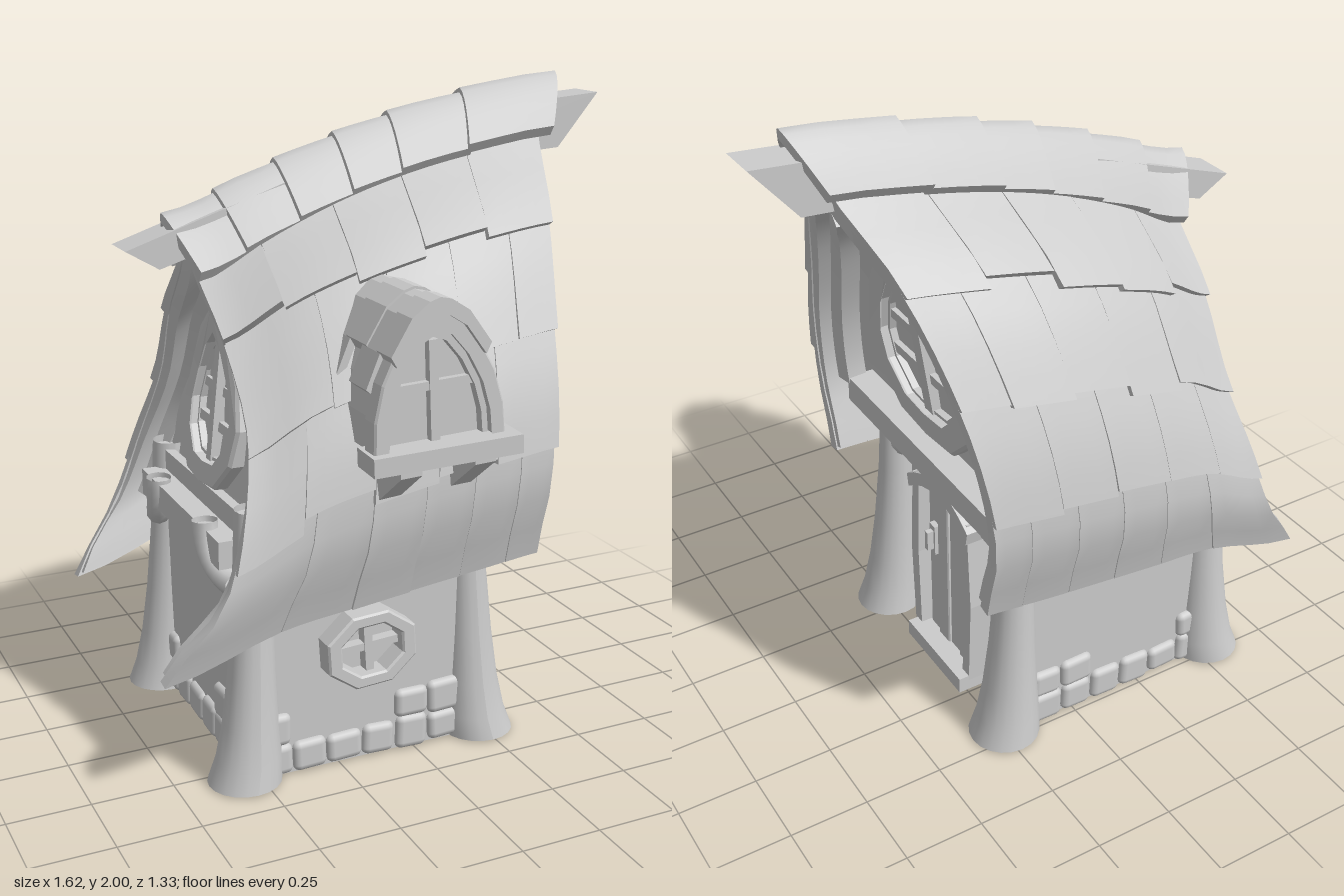
import * as THREE from 'three';
import { RoundedBoxGeometry } from 'three/addons/geometries/RoundedBoxGeometry.js';

const ZC = -0.07; // middle plane of the house
const mat = new THREE.MeshStandardMaterial({ color: 0xcccccc, side: THREE.DoubleSide });
const { lerp, clamp } = THREE.MathUtils;

let seed = 7;
const rnd = (a, b) => { seed = (seed * 16807) % 2147483647; return lerp(a, b, seed / 2147483647); };

// Smooth function of 0..1 through evenly spaced values
function spline(...vals) {
  const c = new THREE.SplineCurve(vals.map((v, i) => new THREE.Vector2(i, v)));
  return t => c.getPoint(clamp(t, 0, 1)).y;
}

// Roof surface: u runs from back gable to door gable, v from ridge to eave
const backX = spline(-0.55, -0.53, -0.52, -0.53, -0.545, -0.56);
const flare = spline(0, 0, 0, -0.04, -0.105, -0.25);
const doorX = spline(0.6, 0.505, 0.44, 0.4, 0.375, 0.37);
const ridgeY = spline(1.52, 1.64, 1.73, 1.79, 1.83, 1.85);
const eaveY = spline(0.39, 0.5, 0.545, 0.575, 0.595, 0.61);
const halfW = spline(0.04, 0.28, 0.43, 0.53, 0.555, 0.48);
const bulge = spline(0, 0.04, 0.03, 0.01, 0, 0);
const swell = spline(0.9, 0.94, 0.98, 1, 1, 0.98);
const surf = (u, v) => new THREE.Vector3(
  lerp(backX(v), doorX(v), u) + flare(v) * (1 - u) ** 4,
  lerp(ridgeY(u), eaveY(u), v),
  halfW(v) * swell(u) + bulge(v) * Math.sin(Math.PI * u));
function roofPoint(u, v, d) {
  const e = 0.01;
  const pu = surf(Math.min(u + e, 1), v).sub(surf(Math.max(u - e, 0), v));
  const pv = surf(u, Math.min(v + e, 1)).sub(surf(u, Math.max(v - e, 0)));
  return surf(u, v).addScaledVector(pv.cross(pu).normalize(), d);
}

// Moves every vertex of a geometry by a rule
function remap(geo, rule) {
  const p = geo.attributes.position;
  for (let i = 0; i < p.count; i++) {
    const q = rule(p.getX(i), p.getY(i), p.getZ(i));
    p.setXYZ(i, q.x, q.y, q.z);
  }
  geo.computeVertexNormals();
  return geo;
}

// Curved slab on the roof; s is the side (+1 / -1), inner(t) and outer(t) are offsets
function roofSlab(s, u0, u1, v0, v1, inner, outer, nu = 4, nv = 4) {
  return remap(new THREE.BoxGeometry(1, 1, 1, nu, nv, 1), (x, y, z) => {
    const t = 0.5 - y;
    const q = roofPoint(lerp(u0, u1, 0.5 + s * x), lerp(v0, v1, t), z > 0 ? outer(t) : inner(t));
    q.z = ZC + s * q.z;
    return q;
  });
}

const poly = (pts, holePts) => {
  const sh = new THREE.Shape(pts.map(p => new THREE.Vector2(...p)));
  if (holePts) sh.holes.push(new THREE.Path(holePts.map(p => new THREE.Vector2(...p))));
  return sh;
};
const mirrored = half => [...half, ...half.filter(p => p[0] > 0.001).reverse().map(([x, y]) => [-x, y])];
const scaled = (pts, kx, ky = kx, cy = 0) => pts.map(([x, y]) => [x * kx, y * ky + cy]);
const extrude = (shape, depth, bevel = 0) => new THREE.ExtrudeGeometry(shape, {
  depth, bevelEnabled: bevel > 0, bevelSize: bevel, bevelThickness: bevel, bevelSegments: 1 });
const rect = (x, y, w, h) => poly([[x - w / 2, y - h / 2], [x + w / 2, y - h / 2], [x + w / 2, y + h / 2], [x - w / 2, y + h / 2]]);

// Turns a part drawn in (sideways, up, out) onto a gable whose plane lies at X(y)
const onGable = (geo, side, X) => remap(geo, (a, y, d) => new THREE.Vector3(X(y) + side * d, y, ZC - side * a));

export function createModel() {
  const house = new THREE.Group();
  const group = name => { const g = new THREE.Group(); g.name = name; house.add(g); return g; };
  const add = (name, geo, parent = house) => {
    const m = new THREE.Mesh(geo, mat);
    m.name = name;
    parent.add(m);
    return m;
  };

  // Roof shell, inner gable trim and shingles
  const roof = group('roof');
  const rows = [0.02, 0.21, 0.44, 0.69, 1];
  for (const s of [1, -1]) {
    add('roofShell', roofSlab(s, 0.005, 0.995, 0, 0.99, t => -0.06 + 0.03 * t, () => 0, 16, 16), roof);
    for (const [a, b] of [[0.88, 0.95], [0.05, 0.1]])
      add('gableTrim', roofSlab(s, a, b, 0.12, 0.8, () => -0.11, () => -0.04, 1, 14), roof);
    for (let r = 0; r < 4; r++) {
      const n = r === 3 ? 6 : 5;
      const cut = i => i <= 0 ? 0 : i >= n ? 1 : (i + (r % 2 ? 0.25 : -0.15)) / n;
      for (let i = 0; i < n; i++) {
        const low = rows[r + 1] + (r === 3 ? 0 : rnd(-0.015, 0.03));
        const lift = rnd(0.026, 0.036);
        add('shingle', roofSlab(s, cut(i) + (i ? 0.001 : 0), cut(i + 1) - (i < n - 1 ? 0.001 : 0), rows[r] - 0.01, low,
          () => -0.01, t => lerp(0.01, lift, t)), roof);
      }
    }
  }

  // Ridge pole and overlapping, pointed ridge caps
  const pole = poly([[-0.75, 1.55], [-0.65, 1.49], [-0.1, 1.66], [0.3, 1.74], [0.67, 1.765], [0.81, 1.93], [0.55, 1.91], [0, 1.8], [-0.6, 1.6]]);
  add('ridgePole', extrude(pole, 0.13), roof).position.z = ZC - 0.065;
  const capTop = spline(1.62, 1.725, 1.82, 1.895, 1.95, 1.99);
  const cuts = [-0.62, -0.46, -0.27, -0.08, 0.1, 0.35, 0.69];
  for (let i = 0; i < 6; i++) {
    add('ridgeCap', remap(new THREE.BoxGeometry(1, 1, 1, 3, 12, 1), (x, y, z) => {
      const t = x + 0.5, a = -2 * y, lift = lerp(0.022, 0.006, t) - (z > 0 ? 0 : 0.03);
      const fall = Math.abs(a) ** 1.45;
      const px = lerp(cuts[i], cuts[i + 1] + (i < 5 ? 0.02 : 0), t);
      return new THREE.Vector3(px * (1 - 0.11 * fall), capTop((px + 0.62) / 1.31) - 0.155 * fall + lift,
        ZC + a * (0.125 + lift * 0.7));
    }), roof);
  }

  // Gable walls with pointed windows and a beam below
  const drop = mirrored([[0, 0.37], [0.14, 0.27], [0.24, 0.13], [0.295, -0.03], [0.27, -0.16], [0.15, -0.27], [0, -0.285]]);
  const gables = [
    { name: 'doorGable', side: 1, u: 0.82, base: 0.8, cy: 1.2, kx: 1, ky: 1, beamX: 0.265, beamY: 0.84, beamL: 0.9 },
    { name: 'backGable', side: -1, u: 0.12, base: 0.66, cy: 1.05, kx: 0.74, ky: 0.82, beamX: -0.545, beamY: 0.71, beamL: 0.7 }];
  for (const { name, side, u, base, cy, kx, ky, beamX, beamY, beamL } of gables) {
    const g = group(name);
    const toV = y => (ridgeY(u) - y) / (ridgeY(u) - eaveY(u));
    const X = y => surf(u, toV(y)).x;
    const half = [];
    for (let i = 0; i <= 10; i++) {
      const q = roofPoint(u, lerp(0, toV(base), i / 10), -0.03);
      half.push([Math.max(q.z, 0.002), q.y]);
    }
    add('gableWall', onGable(extrude(poly(mirrored(half)), 0.02), side, X), g);
    const ring = k => scaled(drop, k * kx, k * ky, cy);
    add('windowFrame', onGable(extrude(poly(ring(1), ring(0.74)), 0.06, 0.01), side, X), g);
    add('windowRim', onGable(extrude(poly(ring(0.73), ring(0.69)), 0.045), side, X), g);
    add('windowBar', onGable(extrude(rect(0, cy + 0.03 * ky, 0.05 * kx, 0.48 * ky), 0.05), side, X), g);
    for (const [dy, w] of [[0.05, 0.38], [-0.08, 0.4]])
      add('windowBar', onGable(extrude(rect(0, cy + dy * ky, w * kx, 0.035 * ky), 0.042), side, X), g);
    const beam = add('beam', new THREE.BoxGeometry(0.11, 0.085, beamL), g);
    beam.position.set(beamX, beamY, ZC);
    beam.rotation.x = side * -0.012;
  }

  // Lower walls (open underneath) and the upper floor
  const walls = poly([[-0.53, -0.335], [0.17, -0.335], [0.17, 0.475], [-0.53, 0.475]], [[-0.5, -0.305], [0.14, -0.305], [0.14, 0.445], [-0.5, 0.445]]);
  add('lowerWalls', extrude(walls, 0.82).rotateX(-Math.PI / 2));
  add('upperFloor', new THREE.BoxGeometry(0.72, 0.03, 0.92).translate(-0.14, 0.79, ZC));

  // Flared corner posts with curved braces
  const profile = [[0.112, 0], [0.1, 0.07], [0.085, 0.18], [0.072, 0.34], [0.061, 0.55], [0.055, 0.84]].map(p => new THREE.Vector2(...p));
  for (const end of [1, -1]) for (const s of [1, -1]) {
    const footX = end > 0 ? 0.238 : -0.548;
    add('cornerPost', remap(new THREE.LatheGeometry(profile, 20), (x, y, z) =>
      new THREE.Vector3(x + footX - end * 0.05 * Math.sqrt(y / 0.84), y, z + ZC + s * (0.38 - 0.02 * y))));
    const bx = end > 0 ? 0.23 : -0.59, dy = end > 0 ? 0 : -0.06;
    const path = new THREE.QuadraticBezierCurve3(new THREE.Vector3(bx - end * 0.04, 0.67 + dy, ZC + s * 0.35),
      new THREE.Vector3(bx, 0.68 + dy, ZC + s * 0.22), new THREE.Vector3(bx, 0.83 + dy, ZC + s * 0.21));
    add('brace', new THREE.TubeGeometry(path, 8, 0.04, 10));
  }

  // Door with planks, frame, step and handle
  const door = group('door');
  const doorPart = (name, geo) => add(name, onGable(geo, 1, () => 0.17), door);
  for (let i = 0; i < 4; i++) {
    const a = -0.13 + i * 0.065, rise = x => 0.69 - 1.6 * x * x;
    doorPart('plank', extrude(poly([[a + 0.004, 0.05], [a + 0.061, 0.05], [a + 0.061, rise(a + 0.06)], [a + 0.004, rise(a)]]), 0.035 + (i % 2) * 0.008, 0.004));
  }
  for (const s of [1, -1])
    doorPart('doorJamb', extrude(poly([[s * 0.135, 0.04], [s * 0.175, 0.04], [s * 0.19, 0.35], [s * 0.17, 0.66], [s * 0.13, 0.66], [s * 0.145, 0.35]]), 0.075));
  const lintel = [];
  for (let i = 0; i <= 8; i++) lintel.push([lerp(-0.19, 0.19, i / 8), 0.715 - 2 * lerp(-0.19, 0.19, i / 8) ** 2]);
  doorPart('lintel', extrude(poly([...lintel, ...lintel.map(([x, y]) => [x * 0.95, y - 0.045]).reverse()]), 0.085));
  doorPart('doorStep', extrude(rect(0.005, 0.03, 0.34, 0.055), 0.11));
  doorPart('handlePlate', extrude(rect(-0.08, 0.44, 0.035, 0.11), 0.058));
  doorPart('handle', extrude(rect(-0.08, 0.44, 0.018, 0.07), 0.08));

  // Stones along the foot of the walls
  const stones = group('baseStones');
  const course = (x0, z0, x1, z1, extra) => {
    const len = Math.hypot(x1 - x0, z1 - z0), n = Math.round(len / 0.115);
    for (let i = 0; i < n; i++) for (let r = 0; r < (extra.includes(i) ? 2 : 1); r++) {
      const t = (i + 0.5) / n;
      const st = add('stone', new RoundedBoxGeometry(len / n * rnd(0.92, 1.04), 0.1 + rnd(-0.01, 0.012), 0.05, 2, 0.022), stones);
      st.position.set(lerp(x0, x1, t), 0.052 + r * 0.098, lerp(z0, z1, t));
      st.rotation.set(0, Math.atan2(z0 - z1, x1 - x0), rnd(-0.06, 0.06));
    }
  };
  course(-0.52, 0.33, 0.16, 0.33, [0, 4, 5]);
  course(0.16, -0.47, -0.52, -0.47, [0, 1, 5]);
  course(-0.525, -0.42, -0.525, 0.28, [0, 4, 5]);

  // Small round window in the lower wall
  const small = group('roundWindow');
  const oct = [];
  for (let i = 0; i < 8; i++) oct.push([0.148 * Math.cos((i + 0.5) * Math.PI / 4), 0.118 * Math.sin((i + 0.5) * Math.PI / 4)]);
  add('roundFrame', extrude(poly(oct, scaled(oct, 0.76)), 0.065, 0.006), small);
  add('roundBar', extrude(rect(0, 0, 0.026, 0.18), 0.04), small);
  add('roundBar', extrude(rect(0, 0, 0.22, 0.024), 0.036), small);
  small.position.set(-0.17, 0.38, 0.335);
  small.rotation.z = 0.06;

  // Dormer with pointed window, curved roof bands, sill and brackets
  const dormer = group('dormer');
  const arch = mirrored([[0, 0.4], [0.05, 0.375], [0.11, 0.3], [0.16, 0.2], [0.185, 0.1], [0.19, 0]]);
  const at = (k, ky = k) => scaled(arch, k, ky);
  const dormerPart = (name, shape, depth, z, bevel) => { add(name, extrude(shape, depth, bevel), dormer).position.z = z; };
  dormerPart('dormerBody', poly(at(0.96)), 0.32, 0.25);
  dormerPart('dormerFrame', poly(at(1.04, 1), at(0.84)), 0.055, 0.565, 0.006);
  dormerPart('dormerInnerFrame', poly(at(0.85), at(0.76, 0.78)), 0.035, 0.565);
  dormerPart('dormerBar', rect(0, 0.15, 0.028, 0.3), 0.03, 0.565);
  dormerPart('dormerBar', rect(0, 0.17, 0.26, 0.025), 0.025, 0.565);
  const upper = [[-0.182, 0.17], [-0.14, 0.26], [-0.08, 0.35], [-0.03, 0.385], [0, 0.393], [0.03, 0.385], [0.08, 0.35], [0.14, 0.26], [0.182, 0.17]];
  [[0.24, 0.14, 1.07], [0.36, 0.13, 1.09], [0.46, 0.11, 1.07], [0.555, 0.09, 1.09]].forEach(([z, d, k], i) => {
    const band = upper.slice(i % 2, i % 2 ? -1 : undefined);
    dormerPart('dormerRoof', poly([...scaled(band, k), ...scaled(band, 0.97).reverse()]), d, z);
  });
  const sill = add('dormerSill', new THREE.BoxGeometry(0.45, 0.055, 0.12), dormer);
  sill.position.set(0.01, -0.015, 0.605);
  sill.rotation.y = -0.05;
  for (const x of [-0.105, 0.125]) {
    const b = add('sillBracket', extrude(poly([[-0.65, -0.04], [-0.65, -0.06], [-0.5, -0.17], [-0.44, -0.17], [-0.44, -0.04]]), 0.065), dormer);
    b.rotation.y = Math.PI / 2;
    b.position.x = x - 0.0325;
  }
  dormer.position.set(-0.07, 1.06, 0);
  dormer.rotation.z = 0.04;

  return house;
}
